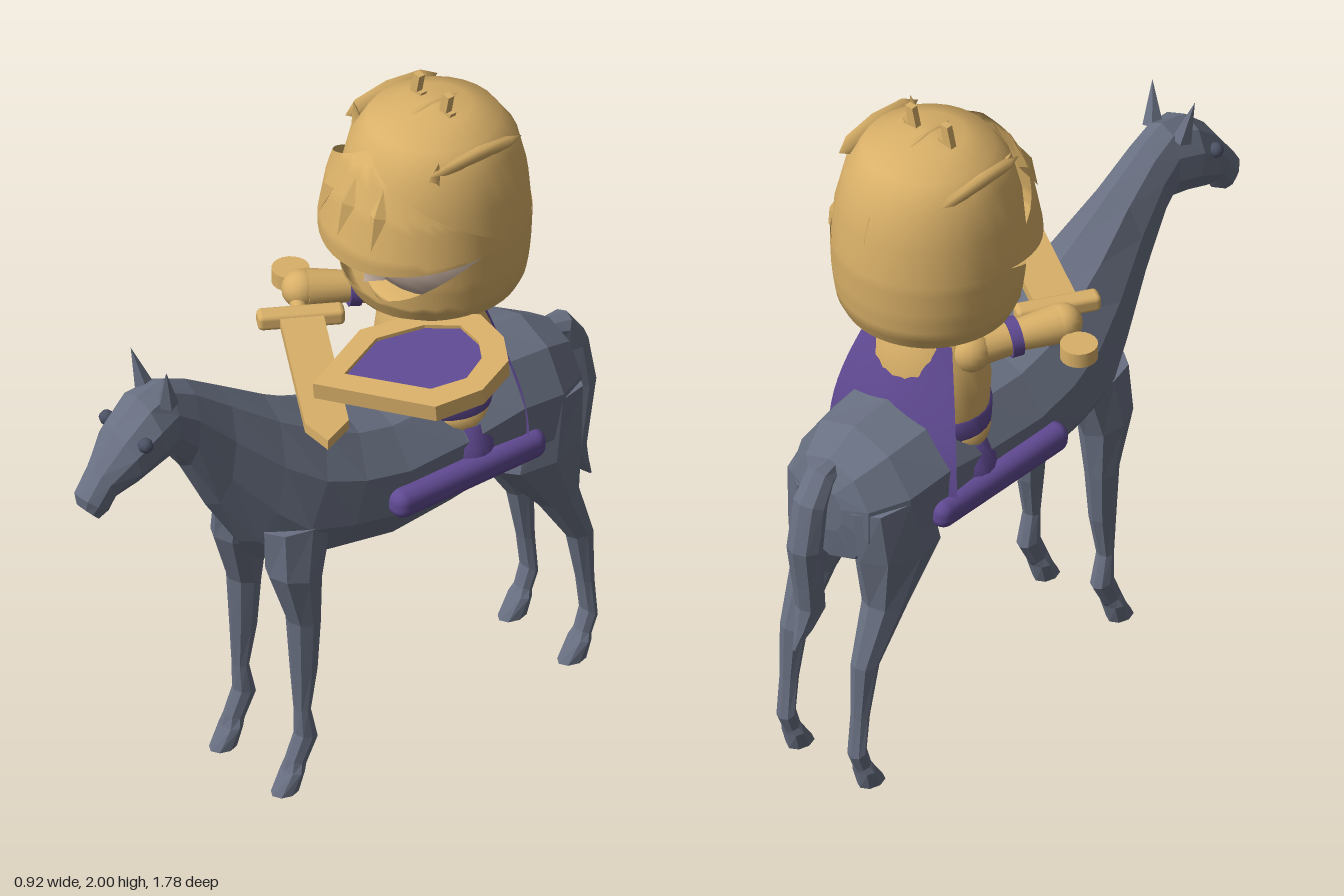
import * as THREE from 'three';
import { ParametricGeometry } from 'three/addons/geometries/ParametricGeometry.js';
import { RoundedBoxGeometry } from 'three/addons/geometries/RoundedBoxGeometry.js';

const CX = -0.05; // centre line of horse and rider
const HZ = -0.34; // rider's axis

export function createModel() {
  const model = new THREE.Group();
  const mat = (name, color, opts = {}) => {
    const m = new THREE.MeshStandardMaterial({ color, ...opts });
    m.name = name;
    return m;
  };
  const grey = mat('horse grey', 0x697082, { flatShading: true });
  const gold = mat('gold', 0xd9b068, { side: THREE.DoubleSide });
  const purple = mat('purple', 0x604a93, { side: THREE.DoubleSide });
  const skin = mat('skin', 0xcbb5a6);
  const dark = mat('dark eye', 0x4c5265);

  const add = (name, geo, material, x = 0, y = 0, z = 0, parent = model) => {
    const m = new THREE.Mesh(geo, material);
    m.name = name;
    m.position.set(x, y, z);
    parent.add(m);
    return m;
  };

  // Closed skin through rings [za, ya, zb, yb, halfWidth, x]: a and b are opposite ends of each ring
  const loft = (rings, sides, side = 1) => {
    const pos = [], idx = [], n = rings.length;
    let x = 0;
    for (const [za, ya, zb, yb, w, rx] of rings) {
      if (rx !== undefined) x = rx;
      for (let j = 0; j < sides; j++) {
        const t = (j / sides) * Math.PI * 2, c = Math.cos(t) / 2;
        pos.push(CX + side * x + w * Math.sin(t), (ya + yb) / 2 + (ya - yb) * c, (za + zb) / 2 + (za - zb) * c);
      }
    }
    for (let i = 0; i < n - 1; i++) for (let j = 0; j < sides; j++) {
      const k = (j + 1) % sides, a = i * sides, b = a + sides;
      idx.push(a + j, b + j, a + k, a + k, b + j, b + k);
    }
    for (let j = 1; j < sides - 1; j++) {
      idx.push(0, j, j + 1);
      const e = (n - 1) * sides;
      idx.push(e, e + j + 1, e + j);
    }
    const g = new THREE.BufferGeometry();
    g.setAttribute('position', new THREE.Float32BufferAttribute(pos, 3));
    g.setIndex(idx);
    g.computeVertexNormals();
    return g;
  };

  // Horse: rump, barrel, neck and head in one skin
  add('horseBody', loft([
    [-0.77, 0.98, -0.76, 0.82, 0.07], [-0.74, 1.05, -0.74, 0.72, 0.15], [-0.64, 1.105, -0.62, 0.66, 0.21],
    [-0.5, 1.12, -0.46, 0.7, 0.225], [-0.3, 1.08, -0.3, 0.665, 0.21], [-0.1, 1.08, -0.1, 0.645, 0.21],
    [0, 1.1, 0.12, 0.68, 0.2], [0.1, 1.15, 0.28, 0.7, 0.18], [0.25, 1.23, 0.34, 0.78, 0.145],
    [0.4, 1.325, 0.45, 0.95, 0.1], [0.52, 1.4, 0.54, 1.12, 0.08], [0.6, 1.435, 0.59, 1.19, 0.075],
    [0.69, 1.415, 0.64, 1.19, 0.098], [0.77, 1.34, 0.72, 1.16, 0.088], [0.84, 1.24, 0.78, 1.135, 0.055],
    [0.89, 1.17, 0.8, 1.1, 0.05], [0.885, 1.135, 0.83, 1.08, 0.035]], 10), grey);
  add('tail', loft([
    [-0.72, 0.99, -0.74, 1.05, 0.03], [-0.755, 0.98, -0.8, 1.045, 0.045], [-0.775, 0.93, -0.86, 0.96, 0.05],
    [-0.79, 0.8, -0.89, 0.81, 0.05], [-0.785, 0.68, -0.87, 0.68, 0.045], [-0.775, 0.58, -0.86, 0.6, 0.04],
    [-0.82, 0.52, -0.87, 0.54, 0.025], [-0.88, 0.47, -0.885, 0.475, 0.004]], 8), grey);
  const frontLeg = [
    [0.33, 0.86, 0.1, 0.86, 0.07, 0.105], [0.325, 0.72, 0.155, 0.68, 0.068, 0.12], [0.265, 0.55, 0.165, 0.53, 0.046, 0.13],
    [0.255, 0.38, 0.175, 0.38, 0.036, 0.132], [0.245, 0.25, 0.2, 0.25, 0.026, 0.135], [0.245, 0.17, 0.175, 0.15, 0.03],
    [0.275, 0.1, 0.215, 0.075, 0.028], [0.285, 0.065, 0.225, 0.06, 0.038], [0.325, 0, 0.24, 0, 0.033]];
  const hindLeg = [
    [-0.5, 0.95, -0.76, 0.92, 0.1, 0.1], [-0.45, 0.73, -0.75, 0.76, 0.09, 0.12], [-0.6, 0.56, -0.725, 0.6, 0.06, 0.13],
    [-0.7, 0.41, -0.78, 0.42, 0.038], [-0.735, 0.25, -0.785, 0.25, 0.028], [-0.75, 0.15, -0.795, 0.12, 0.03],
    [-0.73, 0.09, -0.775, 0.07, 0.028], [-0.715, 0.065, -0.77, 0.055, 0.038], [-0.67, 0, -0.76, 0, 0.033]];
  for (const s of [1, -1]) {
    add('frontLeg', loft(frontLeg, 8, s), grey);
    add('hindLeg', loft(hindLeg, 8, s), grey);
    const ear = add('ear', new THREE.ConeGeometry(0.03, 0.13, 5), grey, CX + s * 0.065, 1.455, 0.635);
    ear.rotation.set(0.2, 0, -s * 0.2);
    add('horseEye', new THREE.SphereGeometry(0.022, 8, 6), dark, CX + s * 0.085, 1.315, 0.725);
    // Rider's legs resting along the horse's flanks
    add('riderLeg', new RoundedBoxGeometry(0.085, 0.085, 0.52, 3, 0.035), purple, CX + s * 0.205, 0.848, -0.29);
  }

  // Rider's torso as stacked bands
  const band = (name, pts, material, depth) => {
    const g = new THREE.LatheGeometry(pts.map(p => new THREE.Vector2(...p)), 28);
    return add(name, g.scale(1, 1, depth), material, CX, 0, HZ);
  };
  band('saddleSkirt', [[0.225, 0.86], [0.222, 0.92], [0.19, 0.97]], purple, 0.55);
  band('goldBelt', [[0.1, 0.955], [0.185, 0.96], [0.187, 1.0], [0.17, 1.005]], gold, 0.8);
  band('purpleBelt', [[0.17, 1.0], [0.186, 1.003], [0.188, 1.06], [0.17, 1.062]], purple, 0.82);
  band('torso', [[0.18, 1.06], [0.185, 1.14], [0.175, 1.22], [0.15, 1.3], [0.11, 1.36]], gold, 0.82);
  band('neckGuard', [[0.12, 1.33], [0.17, 1.335], [0.185, 1.38], [0.12, 1.39]], gold, 1);

  // Cape hanging from the shoulders
  add('cape', new ParametricGeometry((u, v, p) => {
    const s = u * 2 - 1, w = 0.14 + 0.095 * Math.sin(v * Math.PI / 2);
    p.set(CX + s * w, 1.31 - v * 0.42, -0.45 - 0.085 * Math.sin(v * Math.PI / 2) + 0.05 * s * s);
  }, 12, 10), purple);

  // Helmet radius by height
  const profile = [[0.165, 1.35], [0.225, 1.37], [0.25, 1.42], [0.26, 1.5], [0.264, 1.6], [0.254, 1.72],
    [0.228, 1.83], [0.18, 1.9], [0.1, 1.935], [0, 1.945]];
  const radius = y => {
    const i = Math.max(1, Math.min(profile.length - 1, profile.findIndex(p => p[1] >= y)));
    const [r0, y0] = profile[i - 1], [r1, y1] = profile[i];
    return r0 + (r1 - r0) * (y - y0) / (y1 - y0);
  };
  const shell = (name, span, bottom, top, bulge, nu, nv) => add(name, new ParametricGeometry((u, v, p) => {
    const a = (u * 2 - 1) * span, y = THREE.MathUtils.lerp(bottom(a), top(a), v), r = radius(y) + bulge(a, y);
    p.set(CX + r * Math.sin(a), y, HZ + r * Math.cos(a));
  }, nu, nv), gold);
  band('helmetDome', profile.filter(p => p[1] >= 1.6), gold, 1.02);
  shell('helmetLower', Math.PI, () => 1.35,
    a => 1.43 + 0.18 * THREE.MathUtils.smoothstep(Math.abs(a), 0.2, 1.75), () => 0.005, 48, 8);
  const visorBulge = (a, y) => 0.012 + 0.05 * Math.max(0, Math.cos(a)) * (1 - Math.max(0, y - 1.6) / 0.4);
  shell('visor', 1.7, a => 1.605 - 0.05 * Math.max(0, Math.cos(a)) ** 2,
    a => 1.61 + 0.27 * (1 - Math.abs(a) / 1.7) ** 0.9, visorBulge, 32, 10);

  // Raised visor slats
  for (const a of [-0.36, 0, 0.36]) {
    const y = 1.735, r = radius(y) + visorBulge(a, y);
    const slat = add('visorSlat', new THREE.OctahedronGeometry(1).scale(0.026, 0.1, 0.022), gold,
      CX + r * Math.sin(a), y, HZ + r * Math.cos(a));
    slat.rotation.set(-0.4, a, 0, 'YXZ');
  }

  // Crest ridges on the dome
  add('centreRidge', new THREE.SphereGeometry(1, 16, 10).scale(0.045, 0.24, 0.262), gold, CX, 1.71, HZ);
  for (const s of [1, -1]) {
    const ridge = add('sideRidge', new THREE.OctahedronGeometry(1, 1).scale(0.022, 0.04, 0.16), gold, CX + s * 0.185, 1.865, HZ);
    ridge.rotation.z = -s * 0.6;
    const horn = add('helmetPoint', new THREE.ConeGeometry(0.028, 0.08, 4), gold, CX + s * 0.175, 1.86, -0.21);
    horn.rotation.z = -s * 0.3;
  }

  // Zigzag plumes
  const shapeOf = pts => new THREE.Shape(pts.map(p => new THREE.Vector2(...p)));
  const bolt = shapeOf([[0, 0], [0.024, 0.052], [0.002, 0.044], [0.014, 0.1], [-0.012, 0.1],
    [-0.03, 0.028], [-0.004, 0.036], [-0.012, 0]]);
  for (const s of [1, -1])
    add('plume', new THREE.ExtrudeGeometry(s > 0 ? bolt : bolt.clone(), { depth: 0.02, bevelEnabled: false }), gold, CX + s * 0.064, 1.9, HZ - 0.01);

  // Face inside the helmet
  add('face', new THREE.SphereGeometry(1, 24, 16).scale(0.225, 0.19, 0.21), skin, CX, 1.54, HZ);
  const nose = add('nose', new THREE.ConeGeometry(0.042, 0.1, 4), skin, CX, 1.51, -0.125);
  nose.rotation.x = 0.25;
  for (const s of [1, -1])
    add('riderEye', new THREE.SphereGeometry(1, 12, 8).scale(0.024, 0.032, 0.015), dark, CX + s * 0.095, 1.53, -0.148);

  // Arms
  const limb = (name, p, q, r0, r1, material) => {
    const a = new THREE.Vector3(...p), d = new THREE.Vector3(...q).sub(a);
    const m = add(name, new THREE.CylinderGeometry(r1, r0, d.length(), 16), material);
    m.position.copy(a).addScaledVector(d, 0.5);
    m.quaternion.setFromUnitVectors(new THREE.Vector3(0, 1, 0), d.normalize());
  };
  const arm = (p, q, hand) => {
    const at = t => p.map((c, i) => c + (q[i] - c) * t);
    add('shoulder', new THREE.SphereGeometry(0.065, 16, 12), gold, ...p);
    limb('upperArm', p, at(0.45), 0.055, 0.048, gold);
    limb('armBand', at(0.4), at(0.52), 0.056, 0.056, purple);
    limb('forearm', at(0.52), at(0.95), 0.044, 0.056, gold);
    add('hand', new THREE.SphereGeometry(hand, 16, 12), gold, ...q);
  };
  arm([-0.19, 1.265, -0.33], [-0.315, 1.285, -0.09], 0.054);
  arm([0.09, 1.265, -0.33], [0.12, 1.285, -0.08], 0.05);

  // Sword lying flat, pointing forward and to the left
  const sword = new THREE.Group();
  sword.name = 'sword';
  sword.position.set(-0.41, 1.262, -0.13);
  sword.rotation.y = -0.533;
  model.add(sword);
  add('pommel', new THREE.CylinderGeometry(0.052, 0.052, 0.045, 20), gold, 0, 0, 0, sword);
  add('grip', new THREE.CylinderGeometry(0.022, 0.022, 0.2, 12).rotateZ(Math.PI / 2), gold, 0.1, 0, 0, sword);
  add('guard', new RoundedBoxGeometry(0.055, 0.05, 0.24, 2, 0.015), gold, 0.2, 0, 0, sword);
  const blade = shapeOf([[0.2, -0.06], [0.72, -0.06], [0.81, -0.01], [0.72, 0.06], [0.2, 0.06]]);
  add('blade', new THREE.ExtrudeGeometry(blade, { depth: 0.03, bevelEnabled: false }).rotateX(-Math.PI / 2), gold, 0, -0.015, 0, sword);

  // Shield held level, with a raised rim around a purple field
  const shield = new THREE.Group();
  shield.name = 'shield';
  shield.position.set(0, 1.312, 0);
  shield.rotation.x = 0.09;
  model.add(shield);
  const outer = [[0.025, 0.03], [0.12, -0.21], [0.43, -0.03], [0.46, 0.11], [0.41, 0.24], [0.32, 0.295], [0.2, 0.31], [0.09, 0.22]];
  const inner = [[0.085, 0.04], [0.145, -0.12], [0.36, 0.01], [0.39, 0.11], [0.35, 0.195], [0.29, 0.232], [0.2, 0.24], [0.13, 0.17]];
  const slab = (shape, depth) => new THREE.ExtrudeGeometry(shape, { depth, bevelEnabled: false }).rotateX(-Math.PI / 2);
  const rim = shapeOf(outer);
  rim.holes.push(new THREE.Path(inner.map(p => new THREE.Vector2(...p))));
  add('shieldRim', slab(rim, 0.05), gold, 0, 0, 0, shield);
  add('shieldBack', slab(shapeOf(inner), 0.025), gold, 0, 0.005, 0, shield);
  add('shieldField', slab(shapeOf(inner), 0.008), purple, 0, 0.031, 0, shield);

  return model;
}
